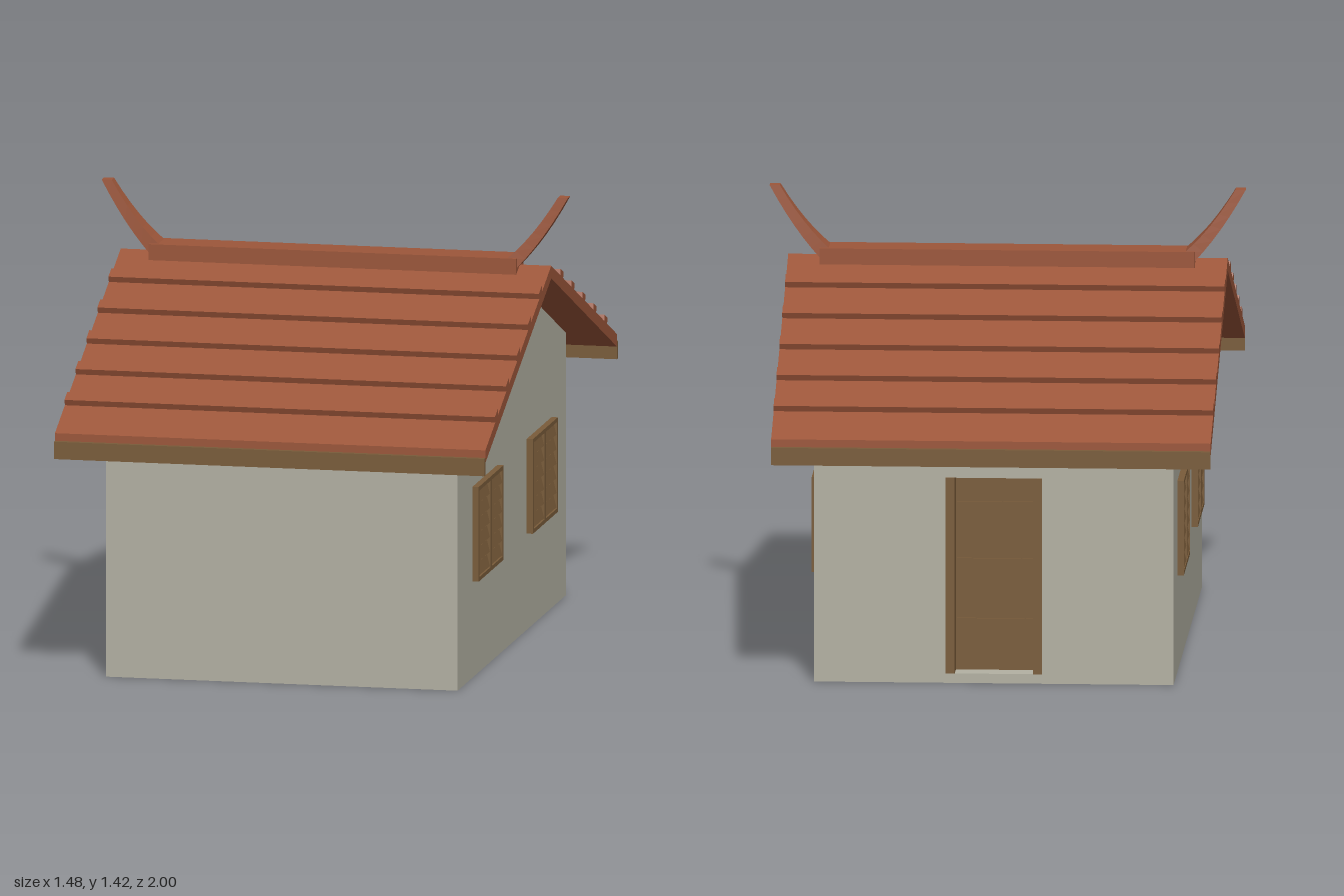
import * as THREE from 'three';

const mat = (name, color) => {
  const m = new THREE.MeshStandardMaterial({ color, flatShading: true });
  m.name = name;
  return m;
};

export function createModel() {
  const house = new THREE.Group();
  house.name = 'house';
  const plaster = mat('plaster', 0xb3b1a3);
  const tile = mat('terracotta', 0x9c563a);
  const wood = mat('wood', 0x7a5c3a);

  const add = (parent, name, geometry, material) => {
    const mesh = new THREE.Mesh(geometry, material);
    mesh.name = name;
    parent.add(mesh);
    return mesh;
  };
  const box = (parent, name, material, x0, x1, y0, y1, z0, z1) => {
    const mesh = add(parent, name, new THREE.BoxGeometry(x1 - x0, y1 - y0, z1 - z0), material);
    mesh.position.set((x0 + x1) / 2, (y0 + y1) / 2, (z0 + z1) / 2);
    return mesh;
  };
  const shape = (points) => new THREE.Shape(points.map(([x, y]) => new THREE.Vector2(x, y)));
  // Extrude a (z, y) profile along x, centred
  const alongX = (points, width) =>
    new THREE.ExtrudeGeometry(shape(points), { depth: width, bevelEnabled: false })
      .translate(0, 0, -width / 2).rotateY(Math.PI / 2);

  // Walls: sill slab, middle storey with a door notch at the back, gabled top
  const W = 0.56, D = 0.81, sill = 0.03, lintel = 0.65, recess = 0.08, door = 0.15;
  const slope = 0.408;
  box(house, 'wallBase', plaster, -W, W, 0, sill, -D, D);
  const plan = shape([[-W, -D], [W, -D], [W, D], [door, D], [door, D - recess],
    [-door, D - recess], [-door, D], [-W, D]]);
  const middle = new THREE.ExtrudeGeometry(plan, { depth: lintel - sill, bevelEnabled: false });
  add(house, 'wallMiddle', middle.rotateX(-Math.PI / 2).translate(0, sill, 0), plaster);
  const eave = 1.16 - slope * D;
  add(house, 'gableWalls', alongX([[-D, lintel], [D, lintel], [D, eave], [0, 1.16], [-D, eave]], 2 * W), plaster);

  // Roof: chevron profile with five raised tile courses on each slope
  const top = (z) => 1.2 - slope * z;
  const half = [];
  for (let i = 0; i < 5; i++) {
    const a = 0.135 + i * 0.164, b = a + 0.043;
    half.push([a, top(a)], [a + 0.007, top(a) + 0.018], [b + 0.007, top(b) + 0.018], [b, top(b)]);
  }
  const E = 0.983;
  half.push([E, top(E)], [E, top(E) - 0.04]);
  const mirrored = half.map(([z, y]) => [-z, y]).reverse();
  add(house, 'roof', alongX([[0, 1.2], ...half, [0, 1.16], ...mirrored], 1.37), tile);

  // Eave boards
  for (const s of [-1, 1]) {
    const board = box(house, 'eaveBoard', wood, -0.685, 0.685, 0.72, 0.775, 0.98, 1);
    board.position.z *= s;
  }

  // Ridge cap and the two curved horns
  box(house, 'ridgeCap', tile, -0.585, 0.585, 1.175, 1.228, -0.055, 0.055);
  const curve = (...p) => new THREE.QuadraticBezierCurve(...p.map(([x, y]) => new THREE.Vector2(x, y)));
  const outer = curve([0.583, 1.195], [0.668, 1.285], [0.742, 1.42]);
  const inner = curve([0.553, 1.225], [0.635, 1.295], [0.71, 1.42]);
  const horn = new THREE.BoxGeometry(1, 1, 1, 1, 6, 1);
  const pos = horn.attributes.position;
  for (let i = 0; i < pos.count; i++) {
    const t = pos.getY(i) + 0.5;
    const p = (pos.getX(i) > 0 ? outer : inner).getPoint(t);
    pos.setXYZ(i, p.x, p.y, Math.sign(pos.getZ(i)) * (0.043 - 0.025 * t));
  }
  horn.computeVertexNormals();
  add(house, 'hornLeft', horn, tile);
  add(house, 'hornRight', horn, tile).rotation.y = Math.PI;

  // Door at the back, set between jambs, with overlapping boards
  const doorGroup = new THREE.Group();
  doorGroup.name = 'door';
  house.add(doorGroup);
  const back = -D + recess;
  for (const s of [-1, 1]) {
    const jamb = box(doorGroup, 'doorJamb', wood, 0.122, door, sill, lintel, -D - 0.003, back);
    jamb.position.x *= s;
  }
  box(doorGroup, 'doorPanel', wood, -0.122, 0.122, sill, lintel, back - 0.012, back);
  const boards = [0.035, 0.2, 0.39, 0.57, 0.645];
  for (let i = 0; i < 4; i++) {
    box(doorGroup, 'doorBoard', wood, -0.118, 0.118, boards[i] + 0.006, boards[i + 1] - 0.006, back - 0.02, back - 0.011);
  }

  // Louvred shutters: two windows on each gable wall
  for (const turn of [0, Math.PI]) {
    for (const zc of [-0.405, 0.405]) {
      const win = new THREE.Group();
      win.name = 'shutterWindow';
      box(win, 'shutterBack', wood, W - 0.005, W + 0.005, 0.31, 0.6, -0.18, 0.18);
      for (const y of [0.305, 0.592]) box(win, 'shutterRail', wood, W, W + 0.02, y, y + 0.013, -0.185, 0.185);
      for (const z of [-0.185, -0.011, 0.173]) {
        const w = z === -0.011 ? 0.022 : 0.012;
        box(win, 'shutterStile', wood, W, W + 0.02, 0.318, 0.592, z, z + w);
      }
      for (const z of [-0.092, 0.092]) {
        for (let i = 0; i < 6; i++) {
          const slat = add(win, 'shutterSlat', new THREE.BoxGeometry(0.006, 0.038, 0.16), wood);
          slat.position.set(W + 0.011, 0.34 + i * 0.046, z);
          slat.rotation.z = 0.25;
        }
      }
      win.position.z = zc;
      const side = new THREE.Group();
      side.name = turn ? 'rightWindow' : 'leftWindow';
      side.add(win);
      side.rotation.y = turn;
      house.add(side);
    }
  }
  return house;
}
